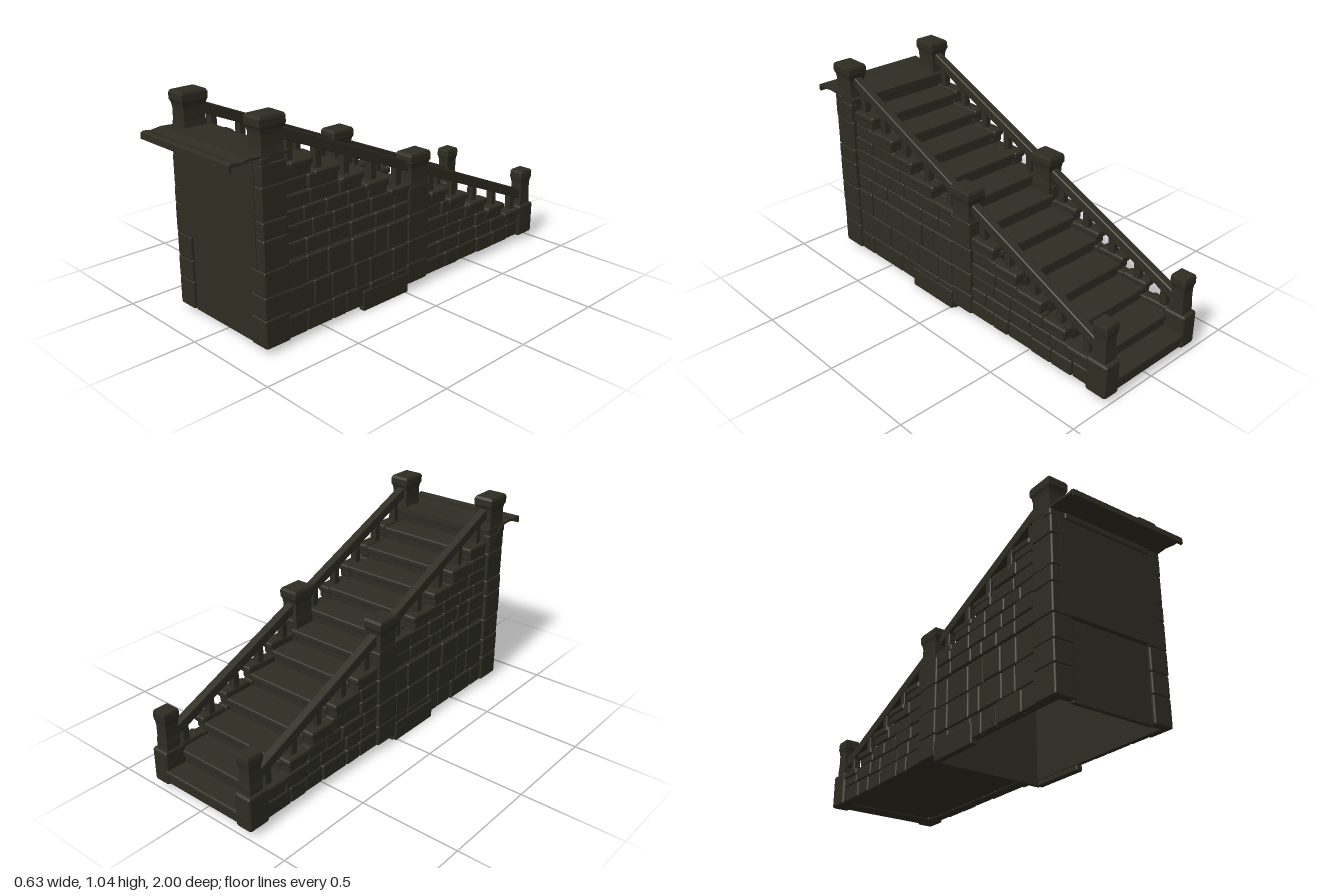
import * as THREE from 'three';
import { RoundedBoxGeometry } from 'three/addons/geometries/RoundedBoxGeometry.js';

const weathered = new THREE.MeshStandardMaterial({ color: 0x2e2d23 });
weathered.name = 'weatheredStone';

// z boundaries of the thirteen treads, from the landing down to the foot
const Z = [0.85, 0.71, 0.575, 0.425, 0.28, 0.125, -0.02, -0.155, -0.29, -0.44, -0.595, -0.74, -0.89, -0.99];
const treadY = (j) => 0.868 - 0.0635 * j;
const capY = (j) => 0.812 - 0.0675 * (j - 1) + (j > 6 ? 0.05 : 0);

let seed = 7;
const rand = () => (seed = (seed * 16807) % 2147483647) / 2147483647;

export function createModel() {
  const model = new THREE.Group();
  model.name = 'staircase';

  const add = (name, geometry, parent = model) => {
    const mesh = new THREE.Mesh(geometry, weathered);
    mesh.name = name;
    parent.add(mesh);
    return mesh;
  };

  // Box given by its limits; a radius rounds its edges
  const block = (name, x0, x1, y0, y1, z0, z1, r = 0, parent = model) => {
    const [w, h, d] = [x1 - x0, y1 - y0, z1 - z0];
    const geo = r ? new RoundedBoxGeometry(w, h, d, 1, Math.min(r, w / 2.1, h / 2.1, d / 2.1))
      : new THREE.BoxGeometry(w, h, d);
    const mesh = add(name, geo, parent);
    mesh.position.set((x0 + x1) / 2, (y0 + y1) / 2, (z0 + z1) / 2);
    return mesh;
  };

  // Row of irregular stones running from zHigh back to zLow
  const stoneRow = (parent, zHigh, zLow, y0, y1, xIn, xOut) => {
    const n = Math.max(1, Math.round((zHigh - zLow) / 0.13));
    let z = zHigh;
    for (let i = 0; i < n; i++) {
      const next = i === n - 1 ? zLow : zHigh - ((zHigh - zLow) * (i + 1 + (rand() - 0.5) * 0.5)) / n;
      block('wallStone', xIn, xOut - rand() * 0.008, y0 + 0.001, y1 - 0.001, next + 0.001, z - 0.001, 0.008, parent);
      z = next;
    }
  };

  // Square post with a chamfered cap and a narrow neck
  const post = (parent, name, x, z, w, d, yBottom, yTop) => {
    const h = yTop - yBottom;
    const profile = [[0.9, 0], [0.9, h - 0.16], [0.84, h - 0.13], [0.84, h - 0.075], [0.9, h - 0.055],
      [1, h - 0.042], [1, h - 0.012], [0.9, h], [0, h]]
      .map(([r, y]) => new THREE.Vector2(r * Math.SQRT1_2, y));
    const geo = new THREE.LatheGeometry(profile, 4, Math.PI / 4).toNonIndexed();
    geo.scale(w, 1, d);
    geo.computeVertexNormals();
    add(name, geo, parent).position.set(x, yBottom, z);
  };

  // Sloping handrail between two points on the side plane, with balusters
  const railing = (parent, zA, yA, zB, yB, balusterZ) => {
    const length = Math.hypot(zA - zB, yA - yB);
    const rail = add('handrail', new RoundedBoxGeometry(0.042, 0.05, length, 1, 0.006), parent);
    rail.position.set(0.258, (yA + yB) / 2, (zA + zB) / 2);
    rail.rotation.x = -Math.atan2(yA - yB, zA - zB);
    for (const z of balusterZ) {
      const y = yB + ((yA - yB) * (z - zB)) / (zA - zB);
      block('baluster', 0.24, 0.276, y - 0.2, y, z - 0.018, z + 0.018, 0.005, parent);
    }
  };

  // Solid core and overhanging plank for every tread
  for (let j = 0; j < 13; j++) {
    const y = treadY(j), half = j === 12 ? 0.295 : 0.24;
    const front = j === 0 ? 0.84 : Z[j];
    block('stepCore', -0.265, 0.265, j < 6 ? 0.388 : 0.045, y - 0.025, Z[j + 1] + 0.012, front + 0.012);
    const plank = block('tread', -half, half, y - 0.032, y, Z[j + 1] - 0.006, Z[j] + 0.01, 0.007);
    plank.rotation.z = (rand() - 0.5) * 0.008;
  }
  block('footBoard', -0.29, 0.29, 0.035, 0.085, -0.985, -0.9, 0.008);

  // Thin landing lip with a drooping edge
  const lip = new THREE.Shape();
  lip.moveTo(0.7, 0.865);
  [[0.84, 0.868], [0.9, 0.873], [0.95, 0.865], [0.985, 0.867], [0.99, 0.843], [1, 0.848],
    [0.998, 0.876], [0.985, 0.882], [0.95, 0.876], [0.9, 0.884], [0.84, 0.88], [0.7, 0.876]]
    .forEach(([z, y]) => lip.lineTo(z, y));
  lip.closePath();
  const lipGeo = new THREE.ExtrudeGeometry(lip, { depth: 0.62, bevelEnabled: false });
  lipGeo.rotateY(-Math.PI / 2);
  add('landingLip', lipGeo).position.x = 0.31;

  // Front panels, beam and hollow lower chamber
  block('lowerFrontPanel', -0.215, 0.215, 0.018, 0.382, 0.815, 0.835, 0.004);
  block('upperFrontPanel', -0.215, 0.215, 0.394, 0.832, 0.815, 0.838, 0.004);
  block('frontSeam', -0.215, 0.215, 0.375, 0.4, 0.81, 0.826);
  block('frontBeam', -0.315, 0.315, 0.838, 0.872, 0.8, 0.85, 0.008);
  block('chamberBackWall', -0.29, 0.29, 0, 0.39, -0.02, 0);
  for (const x of [-0.235, 0.235]) {
    block('chamberCeilingEdge', x - 0.05, x + 0.05, 0.386, 0.4, -0.01, 0.83);
  }

  // Both flanks
  for (const s of [1, -1]) {
    const side = new THREE.Group();
    side.name = s > 0 ? 'leftSide' : 'rightSide';

    // Chamber wall, stepping down at its rear end
    block('chamberWall', 0.27, 0.29, 0.025, 0.385, -0.01, 0.83, 0, side);
    [0.025, 0.13, 0.255, 0.382].forEach((y, i, a) => {
      if (i) stoneRow(side, 0.72, -0.015, a[i - 1], y, 0.28, 0.308);
    });
    block('plinthStone', 0.275, 0.309, 0, 0.1, -0.015, 0.28, 0.006, side);

    // Stepped stone courses of the upper and lower flights
    for (let j = 1; j <= 5; j++) {
      stoneRow(side, 0.72, Z[j + 1], j < 5 ? capY(j + 1) : 0.465, capY(j), 0.237, 0.303);
    }
    stoneRow(side, 0.72, -0.02, 0.394, 0.465, 0.237, 0.306);
    for (let j = 7; j <= 11; j++) {
      stoneRow(side, -0.145, Z[j + 1], j < 11 ? capY(j + 1) : 0.115, capY(j), 0.237, 0.296);
    }
    stoneRow(side, -0.145, -0.89, 0.035, 0.115, 0.237, 0.298);

    // Nosing stones on the stepped courses
    for (const j of [1, 2, 3, 4, 5, 7, 8, 9, 10, 11]) {
      block('nosingStone', 0.236, 0.303, capY(j) - 0.03, capY(j) + 0.004, Z[j + 1] - 0.012, Z[j] - 0.02, 0.01, side);
    }

    // Corner quoins on the front edge
    [0.005, 0.16, 0.265, 0.38, 0.52, 0.6, 0.75, 0.845].forEach((y, i, a) => {
      if (!i) return;
      const out = 0.316 - rand() * 0.005;
      block('cornerStone', 0.21, out, a[i - 1] + 0.02 * (i === 1), y, 0.81, 0.85, 0.008, side);
      block('cornerStone', 0.275, out, a[i - 1] + 0.02 * (i === 1), y, 0.718, 0.848, 0.008, side);
    });

    // Column under the middle post and block under the foot post
    [0.035, 0.14, 0.26, 0.39, 0.53].forEach((y, i, a) => {
      if (i) block('columnStone', 0.235, 0.31 - rand() * 0.005, a[i - 1], y, -0.15, -0.015, 0.008, side);
    });
    block('footBlock', 0.215, 0.305, 0.03, 0.2, -0.995, -0.88, 0.012, side);

    // Posts and railings
    post(side, 'topPost', 0.262, 0.782, 0.102, 0.132, 0.8, 1.037);
    post(side, 'middlePost', 0.26, -0.086, 0.1, 0.13, 0.42, 0.684);
    post(side, 'footPost', 0.258, -0.938, 0.076, 0.082, 0.17, 0.388);
    railing(side, 0.75, 0.96, -0.06, 0.612, [0.67, 0.515, 0.355, 0.19, 0.027]);
    railing(side, -0.1, 0.603, -0.93, 0.25, [-0.2, -0.365, -0.53, -0.69, -0.85]);

    // The far flank is turned about and its order along z restored by mirroring
    if (s < 0) {
      side.traverse((o) => {
        if (!o.isMesh) return;
        o.position.x *= -1;
      });
    }
    model.add(side);
  }
  return model;
}
